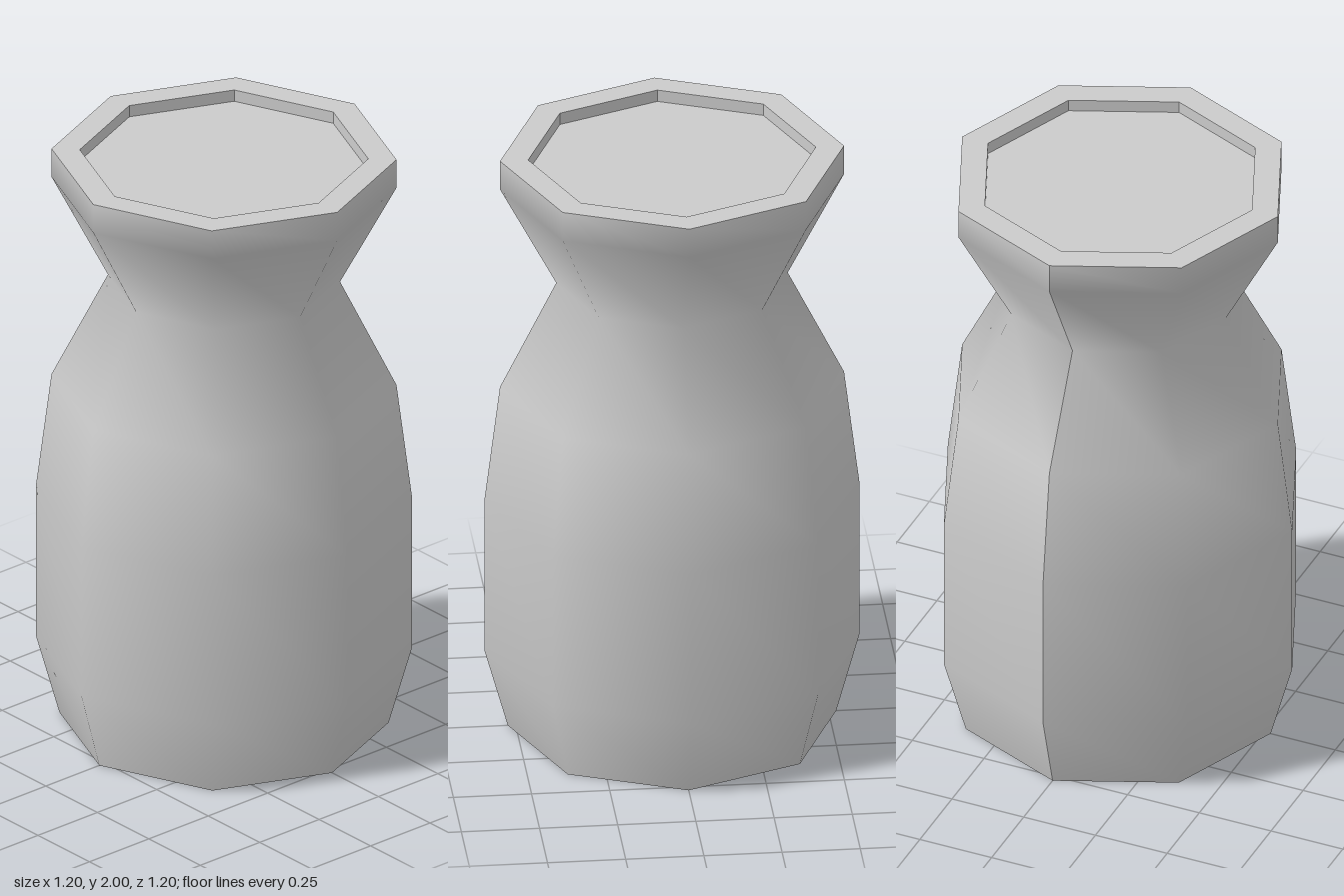
import * as THREE from 'three';

const SIDES = 8;

// Turned octagonal surface; the seam sits at the back corner.
function turned(name, profile, flatShading) {
  const points = profile.map(([r, y]) => new THREE.Vector2(r, y));
  const geometry = new THREE.LatheGeometry(points, SIDES, Math.PI);
  // Averaged facet normals, left split along the seam
  geometry.computeVertexNormals();
  const mesh = new THREE.Mesh(
    geometry,
    new THREE.MeshStandardMaterial({ color: 0xcccccc, flatShading })
  );
  mesh.name = name;
  return mesh;
}

export function createModel() {
  const model = new THREE.Group();
  model.name = 'jar';

  // Outer wall: tapered foot, full belly, narrow neck, flared lip
  model.add(turned('body', [
    [0.525, 0], [0.6, 0.27], [0.6, 0.8], [0.55, 1.2],
    [0.37, 1.56], [0.55, 1.9], [0.55, 2],
  ], false));

  // Flat rim and the short wall inside it
  model.add(turned('rim', [[0.55, 2], [0.46, 2], [0.46, 1.96]], true));

  // Recessed disc closing the mouth
  model.add(turned('mouthDisc', [[0.46, 1.96], [0, 1.96]], true));

  // Hollowed underside with a sloping edge
  model.add(turned('base', [[0, 0.08], [0.46, 0.08], [0.525, 0]], true));

  return model;
}
